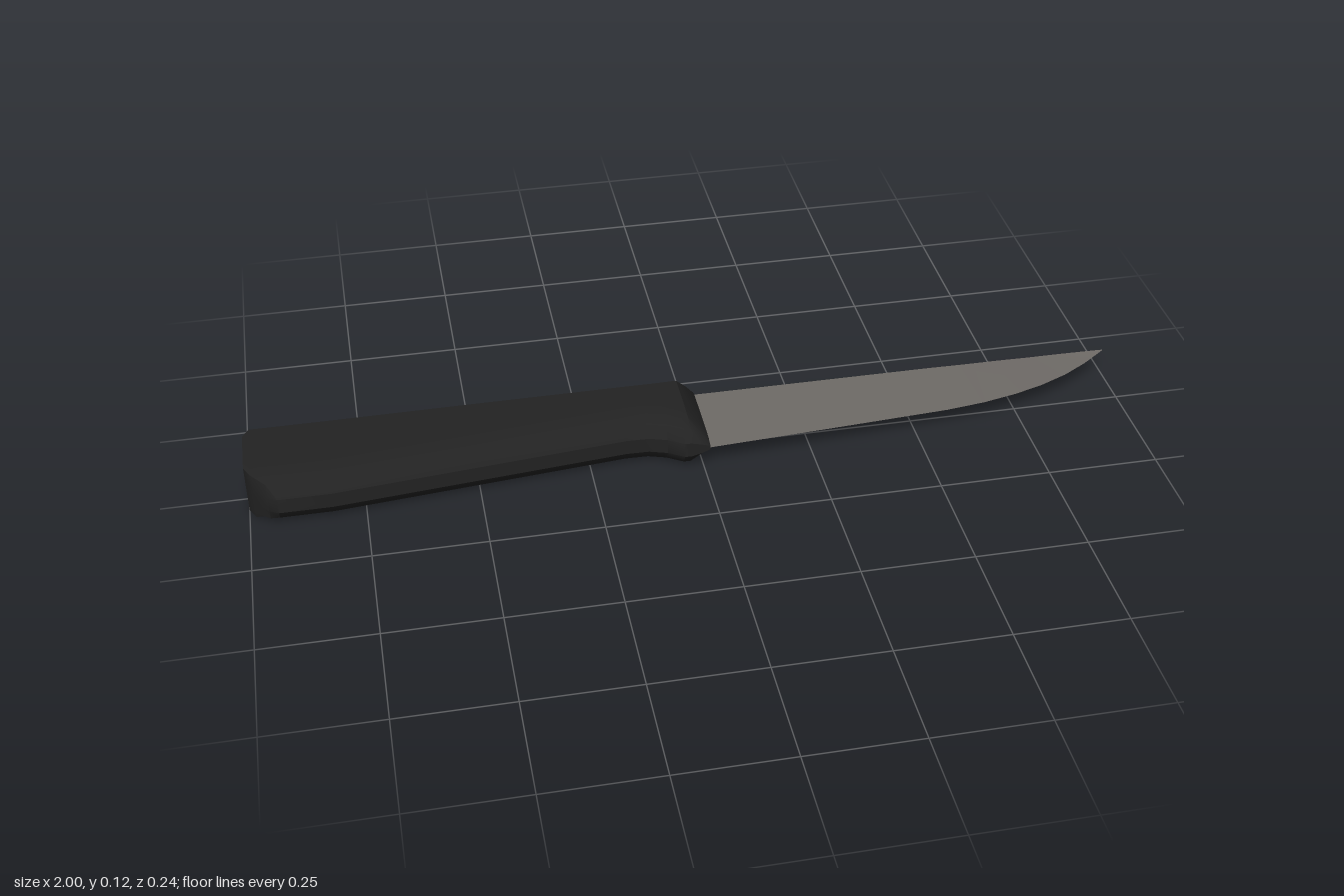
import * as THREE from 'three';
import { toCreasedNormals } from 'three/addons/utils/BufferGeometryUtils.js';

// Closed skin over rings of points, running from -x to +x, with flat end caps
function loft(rings) {
  const n = rings[0].length, last = (rings.length - 1) * n, index = [];
  for (let i = 0; i < rings.length - 1; i++) {
    for (let j = 0; j < n; j++) {
      const a = i * n + j, b = i * n + (j + 1) % n;
      index.push(a, b, b + n, a, b + n, a + n);
    }
  }
  for (let j = 1; j < n - 1; j++) {
    index.push(0, j + 1, j, last, last + j, last + j + 1);
  }
  const geometry = new THREE.BufferGeometry();
  geometry.setAttribute('position', new THREE.Float32BufferAttribute(rings.flat(2), 3));
  geometry.setIndex(index);
  return toCreasedNormals(geometry, 0.6);
}

const MID = 0.06; // height of the blade plane

// Rounded grip section between back and front, cut off at the min and max depth
function gripRing(x, back, front, half, min = back, max = front) {
  const upper = [
    [back, 0.3], [back + 0.012, 0.72], [back + 0.027, 1],
    [front - 0.09, 1], [front - 0.045, 0.95], [front - 0.02, 0.76], [front, 0.3],
  ];
  const lower = upper.map(([z, y]) => [z, -y]).reverse();
  return [...upper, ...lower].map(([z, y]) =>
    [x, MID + y * half, THREE.MathUtils.clamp(z, min, max)]);
}

export function createModel() {
  const model = new THREE.Group();
  const black = new THREE.MeshStandardMaterial({ color: 0x222222 });
  black.name = 'black plastic';
  const steel = new THREE.MeshStandardMaterial({ color: 0x6e6a66 });
  steel.name = 'steel';

  // Handle: squared butt, tapering grip, finger guard and bevelled nose
  const h = 0.059;
  const handle = new THREE.Mesh(loft([
    gripRing(-1, -0.12, 0.118, h, -0.07, 0.045),
    gripRing(-0.985, -0.12, 0.118, h, -0.1, 0.075),
    gripRing(-0.955, -0.12, 0.118, h, -0.118, 0.108),
    gripRing(-0.935, -0.12, 0.119, h),
    gripRing(-0.82, -0.12, 0.119, h),
    gripRing(-0.5, -0.122, 0.087, h),
    gripRing(-0.17, -0.123, 0.054, h),
    gripRing(-0.12, -0.123, 0.055, h),
    gripRing(-0.08, -0.123, 0.068, h),
    gripRing(-0.045, -0.124, 0.09, h),
    gripRing(-0.03, -0.124, 0.091, h),
    gripRing(-0.005, -0.124, 0.091, 0.037),
    gripRing(0.012, -0.124, 0.09, 0.015),
  ]), black);
  handle.name = 'handle';
  model.add(handle);

  // Blade: wedge from a straight spine to a curved cutting edge
  const spine = -0.112;
  const edge = [
    [0, 0.09, 0.004], [0.3, 0.071, 0.004], [0.57, 0.053, 0.004], [0.66, 0.041, 0.003],
    [0.74, 0.023, 0.003], [0.81, 0.001, 0.002], [0.88, -0.03, 0.002],
    [0.94, -0.066, 0.0015], [1, -0.11, 0.0005],
  ];
  const blade = new THREE.Mesh(loft(edge.map(([x, z, t]) =>
    [[x, MID + t, spine], [x, MID, z], [x, MID - t, spine]])), steel);
  blade.name = 'blade';
  model.add(blade);

  return model;
}
